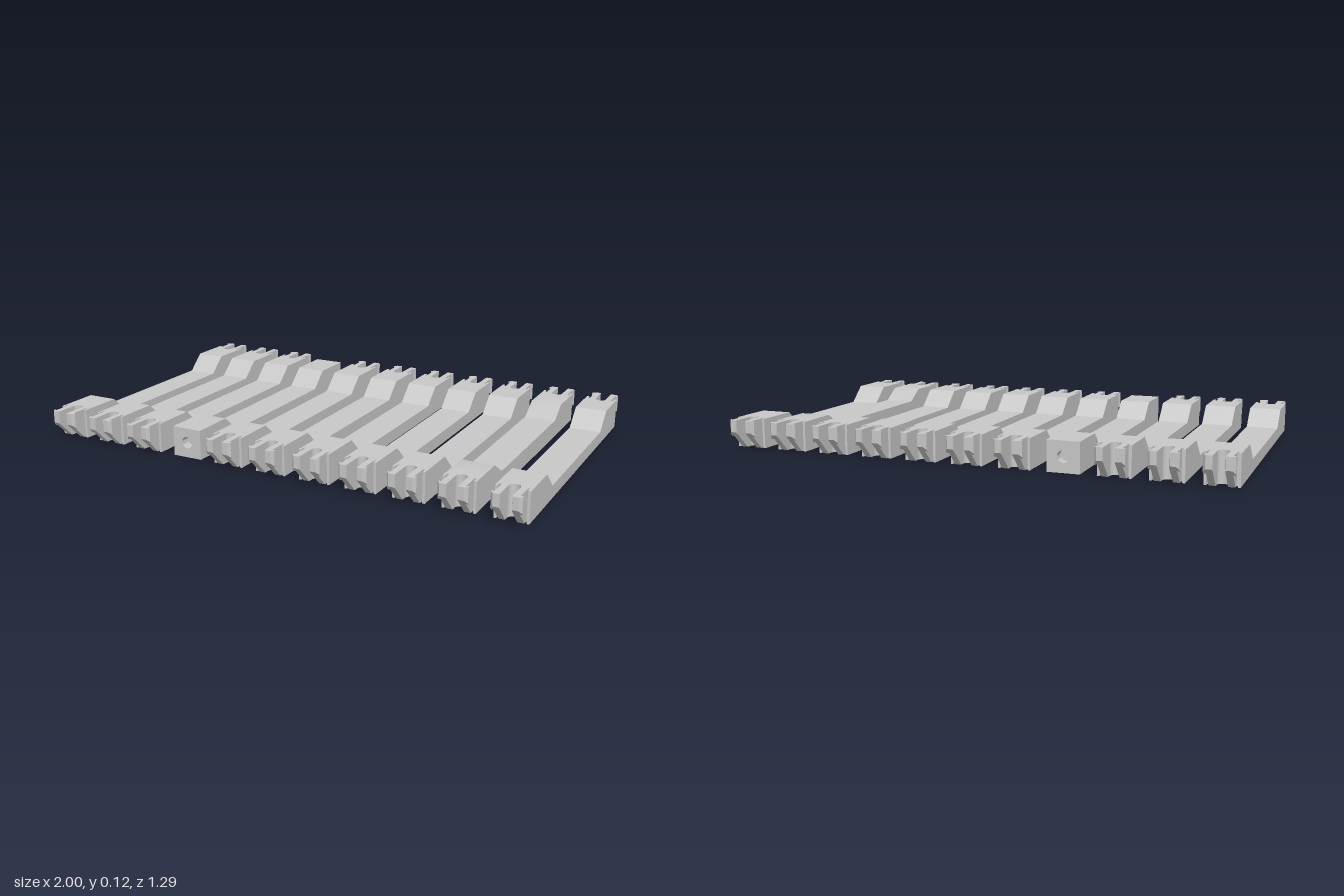
import * as THREE from 'three';
import { toCreasedNormals } from 'three/addons/utils/BufferGeometryUtils.js';

const H = 0.118, HALF = 0.0625, END = 0.575, ROOT = 0.52, TIP = 0.645, BORE = 0.04;

const grey = new THREE.MeshStandardMaterial({ color: 0xc8c8c8 });
grey.name = 'light grey';

const shapeOf = pts => new THREE.Shape(pts.map(p => new THREE.Vector2(...p)));

function mesh(name, geometry) {
  const m = new THREE.Mesh(geometry, grey);
  m.name = name;
  return m;
}

// Side profile (z, y) with a dropped middle, swept across the bar's width
function beamGeometry(end, floor) {
  const half = [[end, 0], [end, H], [0.41, H], [0.4, H], [0.325, floor], [0.3, floor]];
  const mirrored = half.map(([z, y]) => [-z, y]).reverse();
  const g = new THREE.ExtrudeGeometry(shapeOf([...half, ...mirrored]), { depth: 2 * HALF, bevelEnabled: false });
  return g.translate(0, 0, -HALF).rotateY(-Math.PI / 2);
}

// Plan outline (x, z) raised to the bar's height
function planGeometry(shape) {
  const g = new THREE.ExtrudeGeometry(shape, { depth: H, bevelEnabled: false, curveSegments: 8 });
  return g.rotateX(Math.PI / 2).translate(0, H, 0);
}

// End block with a round-bottomed slot and a relief notch beside each prong
function endBlockGeometry() {
  const s = shapeOf([[-HALF, ROOT], [HALF, ROOT], [HALF, END], [0.053, END],
    [0.053, 0.552], [0.045, 0.552], [0.045, END], [0.021, END], [0.021, 0.556]]);
  s.absarc(0, 0.556, 0.021, 0, Math.PI, true);
  for (const p of [[-0.021, END], [-0.045, END], [-0.045, 0.552], [-0.053, 0.552],
    [-0.053, END], [-HALF, END]]) s.lineTo(...p);
  return planGeometry(s);
}

// Hooked prong whose underside slopes up to the tip
function prongGeometry(side) {
  const g = planGeometry(shapeOf([[0.021, END], [0.045, END], [0.045, 0.628], [0.055, 0.626],
    [0.055, 0.633], [0.045, TIP], [0.023, TIP], [0.021, 0.64]].map(([x, z]) => [side * x, z])));
  const p = g.attributes.position;
  for (let i = 0; i < p.count; i++) {
    if (p.getY(i) < 0.001) p.setY(i, Math.max(0, p.getZ(i) - END));
  }
  g.computeVertexNormals();
  return g;
}

// Plain end block with a blind round hole
function boredBlockGeometry() {
  const s = shapeOf([[-HALF, 0], [HALF, 0], [HALF, H], [-HALF, H]]);
  s.holes.push(new THREE.Path().absarc(0, 0.06, 0.023, 0, Math.PI * 2, true));
  const g = new THREE.ExtrudeGeometry(s, { depth: BORE, bevelEnabled: false, curveSegments: 16 });
  return toCreasedNormals(g.translate(0, 0, END - BORE), 0.6);
}

// Adds the same end parts at the front and, turned round, at the back
function addEnds(bar, makeParts) {
  for (const turn of [0, Math.PI]) {
    const end = new THREE.Group();
    end.name = turn ? 'backEnd' : 'frontEnd';
    end.rotation.y = turn;
    end.add(...makeParts());
    bar.add(end);
  }
}

function forkedBar(floor) {
  const bar = new THREE.Group();
  // Shallow ramps blend into the flats, steep ones stay sharp
  bar.add(mesh('beam', toCreasedNormals(beamGeometry(ROOT, floor), 0.62)));
  addEnds(bar, () => [
    mesh('endBlock', endBlockGeometry()),
    mesh('prong', prongGeometry(-1)),
    mesh('prong', prongGeometry(1)),
  ]);
  return bar;
}

function boredBar() {
  const bar = new THREE.Group();
  bar.add(mesh('beam', beamGeometry(END - BORE, 0.05)));
  addEnds(bar, () => [mesh('boredBlock', boredBlockGeometry())]);
  return bar;
}

export function createModel() {
  const model = new THREE.Group();
  model.name = 'barSet';
  for (let i = 0; i < 11; i++) {
    // The fourth bar has bored ends, the tenth a shallower dip
    const bar = i === 3 ? boredBar() : forkedBar(i === 9 ? 0.07 : 0.05);
    bar.name = i === 3 ? 'boredBar' : `forkedBar${i + 1}`;
    bar.position.x = -0.9375 + i * 0.1875;
    model.add(bar);
  }
  return model;
}
